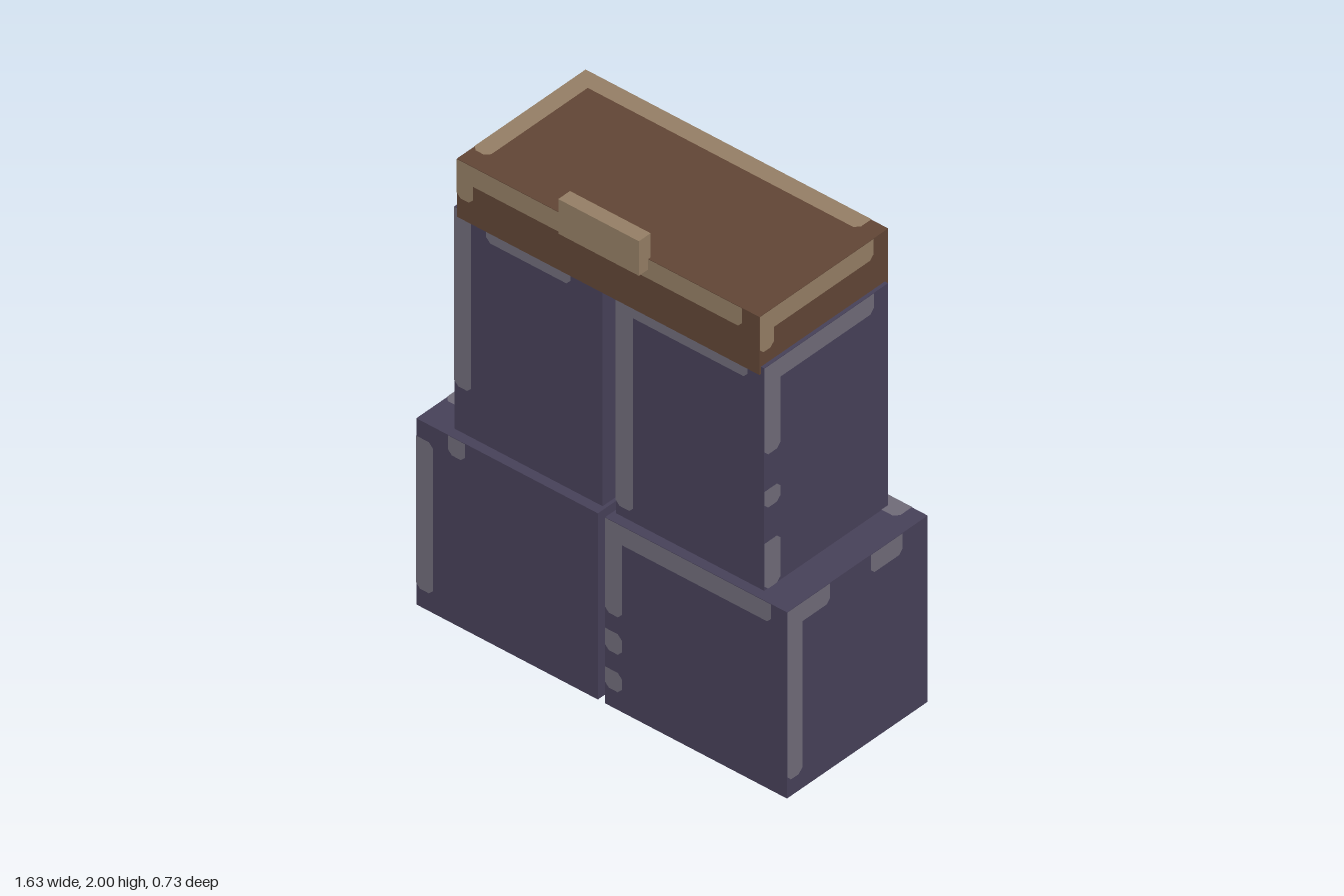
import * as THREE from 'three';

const paint = (name, color) => Object.assign(new THREE.MeshStandardMaterial({ color }), { name });

export function createModel() {
  const cloth = paint('dark purple cloth', 0x464058);
  const clothEdge = paint('worn grey edge', 0x6e6a77);
  const leather = paint('brown leather', 0x604535);
  const tan = paint('tan trim', 0x937d64);

  // Rotation that turns a plate facing +z onto each side of a box
  const turns = {
    front: [0, 0], back: [0, Math.PI], left: [0, Math.PI / 2],
    right: [0, -Math.PI / 2], top: [-Math.PI / 2, 0], bottom: [Math.PI / 2, 0],
  };

  // Flat patch with clipped corners; corners lying on the box edge stay square
  function patchShape(w, h, [u0, u1, t0, t1]) {
    const c = 0.018, l = u0 - w / 2, r = u1 - w / 2, b = h / 2 - t1, t = h / 2 - t0;
    const cl = u0 > 0, ct = t0 > 0;
    const k = (on) => (on ? c : 0);
    const bl = k(cl || t1 < h), br = c, tr = k(ct), tl = k(cl && ct);
    return new THREE.Shape([
      [l + bl, b], [r - br, b], [r, b + br], [r, t - tr], [r - tr, t],
      [l + tl, t], [l, t - tl], [l, b + bl],
    ].map(([x, y]) => new THREE.Vector2(x, y)));
  }

  // Box with worn patches: each is [u0, u1, t0, t1] from a side's left and top edges
  function wornBox(name, min, max, material, patchMaterial, patches) {
    const part = new THREE.Group();
    part.name = name;
    const size = max.map((v, i) => v - min[i]);
    part.position.set(...max.map((v, i) => (v + min[i]) / 2));
    const body = new THREE.Mesh(new THREE.BoxGeometry(...size), material);
    body.name = name + 'Body';
    part.add(body);
    for (const [side, list] of Object.entries(patches)) {
      const [sx, sy, sz] = size;
      const [w, h, d] = {
        front: [sx, sy, sz], back: [sx, sy, sz], left: [sz, sy, sx],
        right: [sz, sy, sx], top: [sx, sz, sy], bottom: [sx, sz, sy],
      }[side];
      const geometry = new THREE.ShapeGeometry(list.map((p) => patchShape(w, h, p)));
      geometry.translate(0, 0, d / 2 + 0.002);
      geometry.rotateX(turns[side][0]).rotateY(turns[side][1]);
      const mesh = new THREE.Mesh(geometry, patchMaterial);
      mesh.name = `${name}Wear${side}`;
      part.add(mesh);
    }
    return part;
  }

  const model = new THREE.Group();
  model.name = 'legArmour';

  // Boots
  model.add(wornBox('rightBoot', [-0.815, 0, -0.36], [-0.018, 0.77, 0.348], cloth, clothEdge, {
    front: [[0, 0.075, 0.07, 0.695], [0.14, 0.215, 0, 0.075]],
    back: [[0, 0.73, 0, 0.075], [0, 0.075, 0, 0.17], [0, 0.075, 0.3, 0.7]],
    right: [[0, 0.075, 0, 0.7], [0, 0.14, 0, 0.075], [0.25, 0.5, 0, 0.075]],
    top: [[0, 0.725, 0, 0.085], [0, 0.075, 0, 0.145], [0, 0.075, 0.2, 0.57]],
    bottom: [[0, 0.73, 0, 0.075]],
  }));
  model.add(wornBox('leftBoot', [0.014, 0, -0.36], [0.812, 0.77, 0.348], cloth, clothEdge, {
    front: [[0, 0.73, 0, 0.078], [0, 0.075, 0, 0.385], [0, 0.075, 0.455, 0.54], [0, 0.075, 0.615, 0.695]],
    back: [[0, 0.36, 0, 0.075], [0, 0.075, 0.15, 0.24], [0, 0.075, 0.47, 0.71]],
    left: [[0, 0.075, 0, 0.7], [0, 0.215, 0, 0.078], [0.42, 0.58, 0, 0.08]],
    top: [[0, 0.73, 0, 0.078]],
    bottom: [[0, 0.73, 0, 0.075]],
  }));

  // Thighs
  model.add(wornBox('rightThigh', [-0.682, 0.76, -0.315], [-0.032, 1.69, 0.308], cloth, clothEdge, {
    front: [[0, 0.075, 0, 0.735], [0.14, 0.51, 0, 0.075]],
    back: [[0, 0.075, 0, 0.1], [0, 0.075, 0.25, 0.85], [0.16, 0.3, 0, 0.075], [0.34, 0.53, 0, 0.075]],
    right: [[0, 0.075, 0, 0.15], [0.25, 0.55, 0, 0.075]],
    top: [[0, 0.075, 0.46, 0.56]],
  }));
  model.add(wornBox('leftThigh', [0.026, 0.76, -0.315], [0.677, 1.69, 0.308], cloth, clothEdge, {
    front: [[0, 0.58, 0, 0.075], [0, 0.078, 0, 0.88]],
    back: [[0, 0.075, 0, 0.82], [0.14, 0.21, 0, 0.075], [0.28, 0.36, 0, 0.075], [0.42, 0.58, 0, 0.075]],
    left: [[0, 0.55, 0, 0.078], [0, 0.08, 0, 0.365], [0, 0.08, 0.51, 0.585], [0, 0.08, 0.725, 0.92]],
  }));

  // Belt and buckle
  const rim = (w) => [[0, w - 0.075, 0, 0.08], [0, 0.072, 0, 0.155]];
  model.add(wornBox('belt', [-0.665, 1.66, -0.332], [0.663, 1.9, 0.316], leather, tan, {
    front: rim(1.328), back: rim(1.328), left: rim(0.648), right: rim(0.648),
    top: [[0, 1.255, 0, 0.072], [0, 0.072, 0, 0.575]],
  }));
  model.add(wornBox('buckle', [-0.178, 1.857, 0.305], [0.176, 2, 0.364], tan, tan, {}));

  return model;
}
